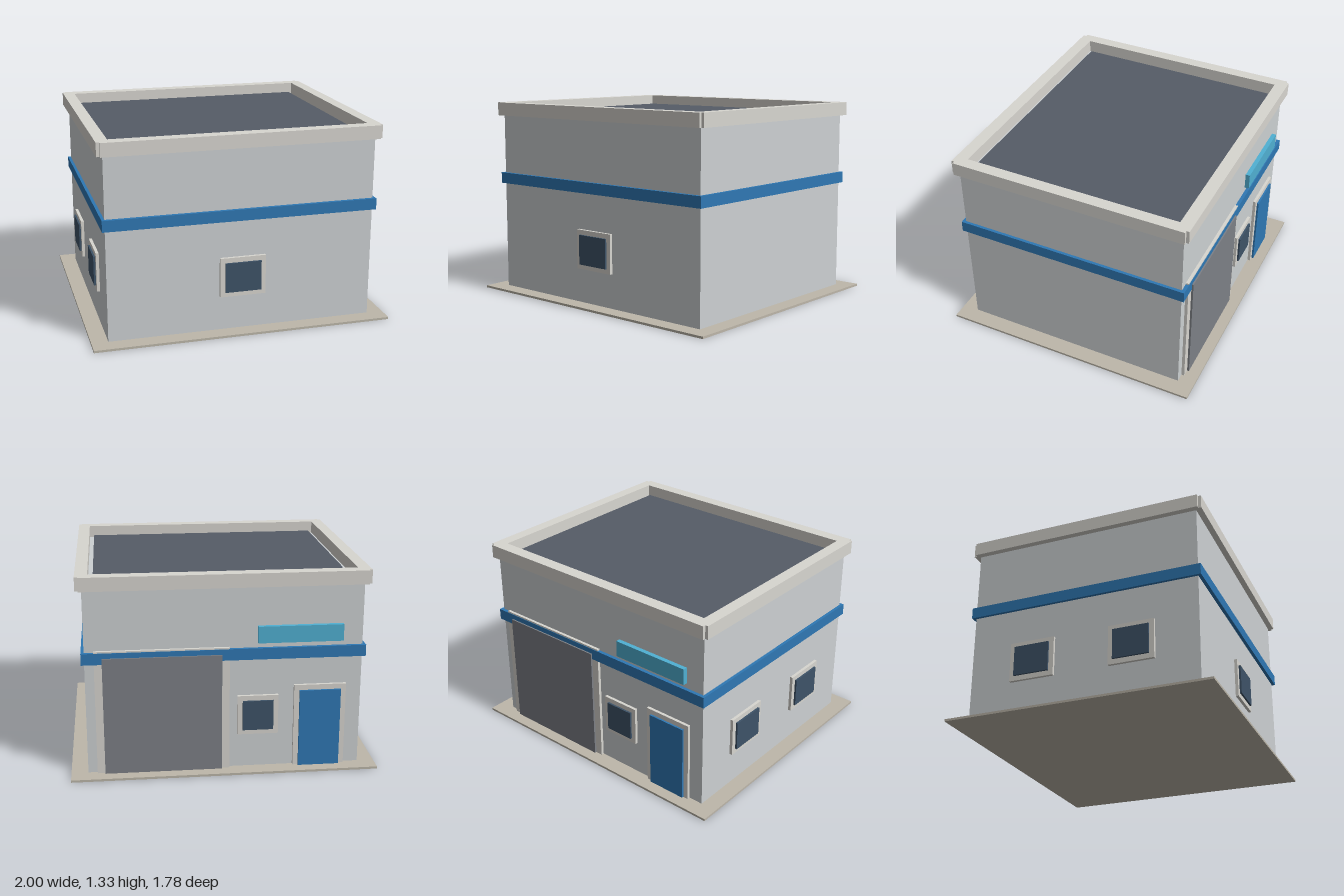
import * as THREE from 'three';

const mat = (color) => new THREE.MeshStandardMaterial({ color });

export function createModel() {
  const building = new THREE.Group();
  building.name = 'building';

  const wall = mat(0xcdd1d3), trim = mat(0xd8d6d0), blue = mat(0x2f78b4), glass = mat(0x3e5368);
  const roofing = mat(0x565c67), paving = mat(0xbdb7aa), shutterGrey = mat(0x7d8086), signBlue = mat(0x50b0d3);

  const W = 0.89, D = 0.78; // half width and half depth of the walls

  // Box given by its min and max corners
  function box(name, material, [x0, y0, z0], [x1, y1, z1], parent = building) {
    const mesh = new THREE.Mesh(new THREE.BoxGeometry(x1 - x0, y1 - y0, z1 - z0), material);
    mesh.position.set((x0 + x1) / 2, (y0 + y1) / 2, (z0 + z1) / 2);
    mesh.name = name;
    parent.add(mesh);
    return mesh;
  }

  // Framed opening, built facing +z on the plane z = 0
  function opening(name, material, { w, y0, y1, side, top, bottom }) {
    const g = new THREE.Group();
    g.name = name;
    box(name + 'Frame', trim, [-w / 2 - side, y0 - bottom, -0.01], [w / 2 + side, y1 + top, 0.02], g);
    box(name + 'Panel', material, [-w / 2, y0, 0], [w / 2, y1, 0.033], g);
    building.add(g);
    return g;
  }
  const onBack = (g, x) => { g.position.set(x, 0, -D); g.rotation.y = Math.PI; };
  const makeWindow = (w) =>
    opening('window', glass, { w, y0: 0.28, y1: 0.48, side: 0.033, top: 0.033, bottom: 0.033 });

  // Ground slab, walls, colour band and roof
  box('groundSlab', paving, [-1, 0, -0.89], [1, 0.015, 0.89]);
  box('walls', wall, [-W, 0.01, -D], [W, 1.245, D]);
  box('band', blue, [-0.91, 0.76, -0.803], [0.91, 0.835, 0.803]);
  box('roof', roofing, [-0.82, 1.235, -0.71], [0.82, 1.265, 0.71]);

  // Parapet ring with small notches at its corners
  const outline = new THREE.Shape([
    [0.91, 0.82], [-0.91, 0.82], [-0.91, 0.80], [-0.93, 0.80], [-0.93, -0.80], [-0.91, -0.80],
    [-0.91, -0.82], [0.91, -0.82], [0.91, -0.80], [0.93, -0.80], [0.93, 0.80], [0.91, 0.80],
  ].map(([x, y]) => new THREE.Vector2(x, y)));
  outline.holes.push(new THREE.Path([
    [-0.85, -0.735], [0.85, -0.735], [0.85, 0.735], [-0.85, 0.735],
  ].map(([x, y]) => new THREE.Vector2(x, y))));
  const parapet = new THREE.Mesh(
    new THREE.ExtrudeGeometry(outline, { depth: 0.09, bevelEnabled: false }).rotateX(-Math.PI / 2), trim);
  parapet.position.y = 1.24;
  parapet.name = 'parapet';
  building.add(parapet);

  // Windows: one in front, two on the -x side, one on the back
  makeWindow(0.24).position.z = D;
  for (const z of [-0.34, 0.34]) {
    const g = makeWindow(0.24);
    g.position.set(-W, 0, z);
    g.rotation.y = -Math.PI / 2;
  }
  onBack(makeWindow(0.2), -0.215);

  // Roller shutter, door and sign board on the back
  onBack(opening('shutter', shutterGrey, { w: 0.76, y0: 0.005, y1: 0.8, side: 0.05, top: 0.045, bottom: 0 }), 0.4);
  onBack(opening('door', blue, { w: 0.27, y0: 0.005, y1: 0.54, side: 0.035, top: 0.035, bottom: 0 }), -0.62);
  box('signBoard', signBlue, [-0.76, 0.87, -0.81], [-0.21, 0.98, -0.77]);

  return building;
}
